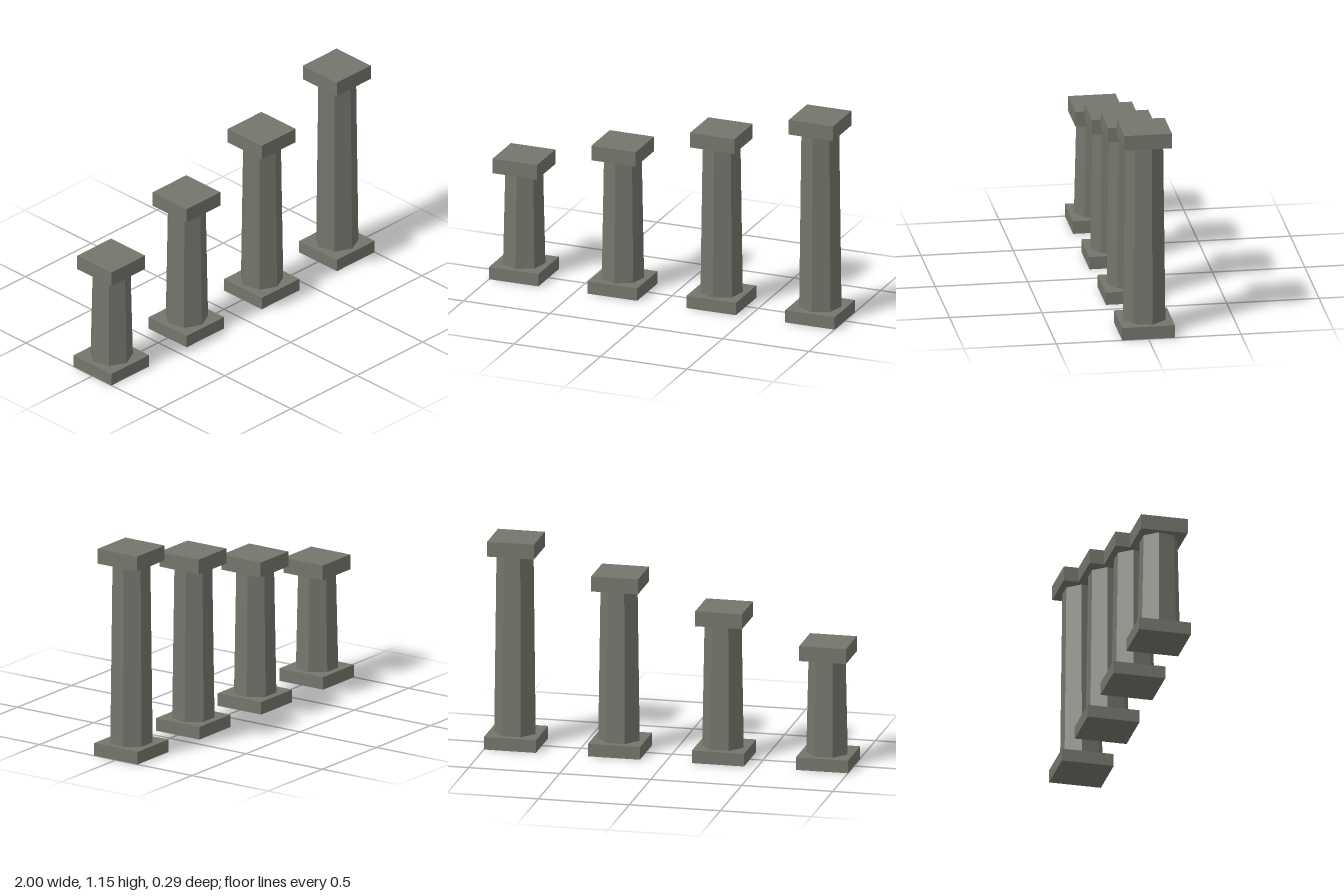
import * as THREE from 'three';

export function createModel() {
  const stone = new THREE.MeshStandardMaterial({ color: 0x74766c, flatShading: true });
  stone.name = 'greyStone';

  const baseHeight = 0.07;
  const capHeight = 0.083;

  function addPart(parent, name, geometry, y) {
    const mesh = new THREE.Mesh(geometry, stone);
    mesh.name = name;
    mesh.position.y = y;
    parent.add(mesh);
  }

  // Square plinth, tapered seven-sided shaft and square capital
  function createColumn(height) {
    const column = new THREE.Group();
    const shaftHeight = height - baseHeight - capHeight;
    addPart(column, 'plinth', new THREE.BoxGeometry(0.286, baseHeight, 0.286), baseHeight / 2);
    addPart(column, 'shaft', new THREE.CylinderGeometry(0.104, 0.1165, shaftHeight, 7), baseHeight + shaftHeight / 2);
    addPart(column, 'capital', new THREE.BoxGeometry(0.257, capHeight, 0.257), height - capHeight / 2);
    return column;
  }

  // Row of four columns rising from right to left
  const model = new THREE.Group();
  model.name = 'columnRow';
  for (let i = 0; i < 4; i++) {
    const column = createColumn(0.686 + i * 0.156);
    column.name = `column${i + 1}`;
    column.position.x = (i - 1.5) * 0.5714;
    model.add(column);
  }
  return model;
}
